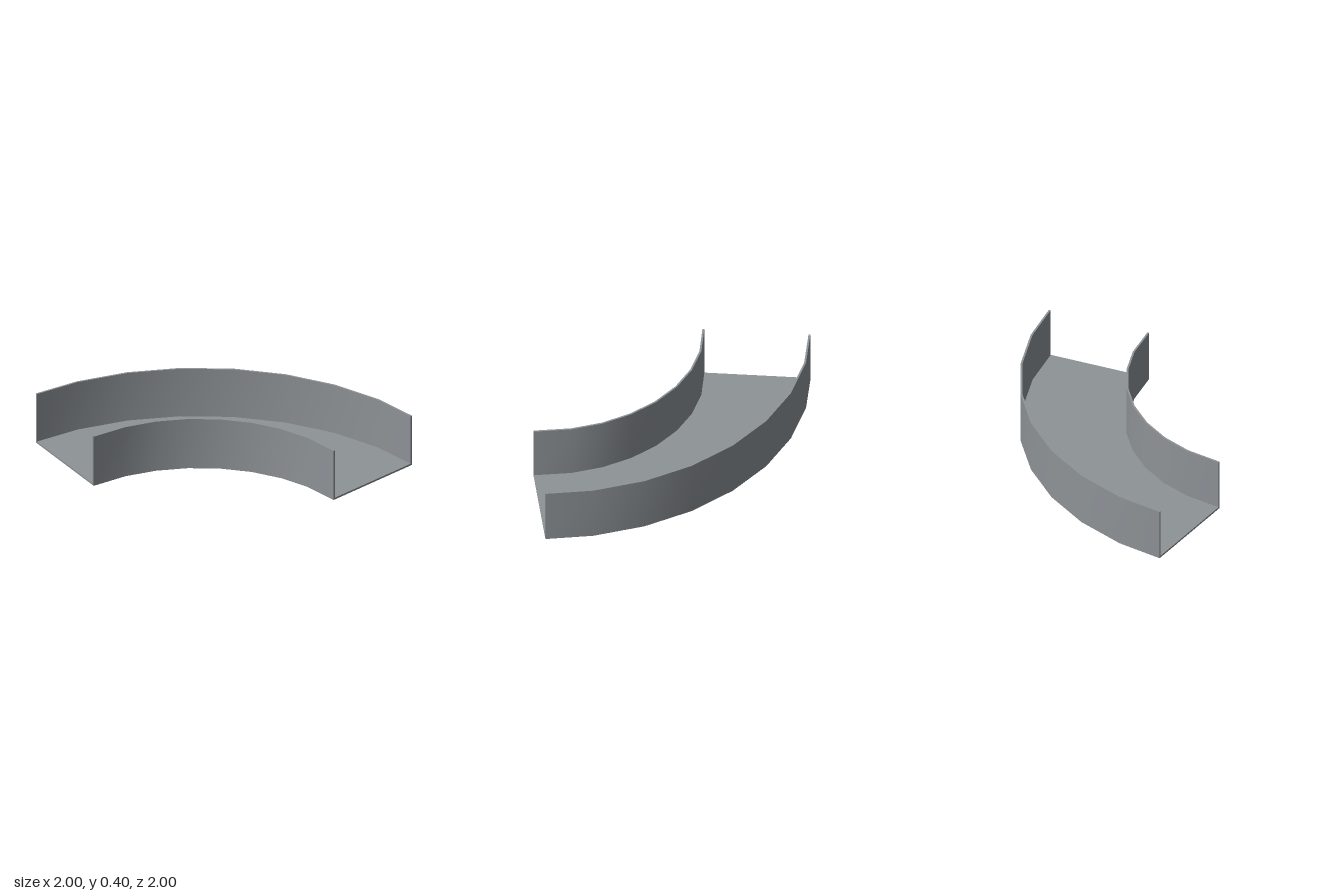
import * as THREE from 'three';

// Curved U-channel: a profile swept along a quarter-circle path of straight segments
const SEGMENTS = 8;
const STEP = Math.PI / 2 / SEGMENTS;
const CENTRE = 0.962;      // arc centre on both x and z
const RADIUS = 1.575;      // path radius
const HALF = 0.389;        // half width of the channel
const HEIGHT = 0.4;
const THICK = 0.014;

// Position at station k, u across the channel (+u = outward), y up
function place(k, u, y) {
  const a = k * STEP;
  // end sections are square to their end segment, the others are radial
  const f = k === 0 ? STEP / 2 : k === SEGMENTS ? a - STEP / 2 : a;
  return [
    CENTRE - RADIUS * Math.cos(a) - u * Math.cos(f),
    y,
    CENTRE - RADIUS * Math.sin(a) - u * Math.sin(f),
  ];
}

// Sweep a rectangular section; each side is its own strip so its edges stay sharp
function sweep(u0, u1, y0, y1, sides = [0, 1, 2, 3]) {
  const corners = [[u0, y0], [u1, y0], [u1, y1], [u0, y1]];
  const positions = [];
  const indices = [];
  for (const s of sides) {
    const base = positions.length / 3;
    for (let k = 0; k <= SEGMENTS; k++) {
      positions.push(...place(k, ...corners[s]), ...place(k, ...corners[(s + 1) % 4]));
    }
    for (let k = 0; k < SEGMENTS; k++) {
      const a = base + 2 * k;
      indices.push(a, a + 2, a + 1, a + 1, a + 2, a + 3);
    }
  }
  // end caps
  for (const k of [0, SEGMENTS]) {
    const b = positions.length / 3;
    corners.forEach((c) => positions.push(...place(k, ...c)));
    if (k === 0) indices.push(b, b + 1, b + 2, b, b + 2, b + 3);
    else indices.push(b, b + 2, b + 1, b, b + 3, b + 2);
  }
  const geometry = new THREE.BufferGeometry();
  geometry.setAttribute('position', new THREE.Float32BufferAttribute(positions, 3));
  geometry.setIndex(indices);
  geometry.computeVertexNormals();
  return geometry;
}

export function createModel() {
  const group = new THREE.Group();
  group.name = 'curvedChannel';
  const steel = new THREE.MeshStandardMaterial({ color: 0x8e9397 });
  steel.name = 'steel grey';
  steel.side = THREE.DoubleSide;

  const add = (name, geometry) => {
    const mesh = new THREE.Mesh(geometry, steel);
    mesh.name = name;
    group.add(mesh);
  };

  // floor between the walls (top and underside only), then the two upright walls
  add('floor', sweep(-HALF + THICK, HALF - THICK, 0, THICK, [0, 2]));
  add('innerWall', sweep(-HALF, -HALF + THICK, 0, HEIGHT));
  add('outerWall', sweep(HALF - THICK, HALF, 0, HEIGHT));
  return group;
}
